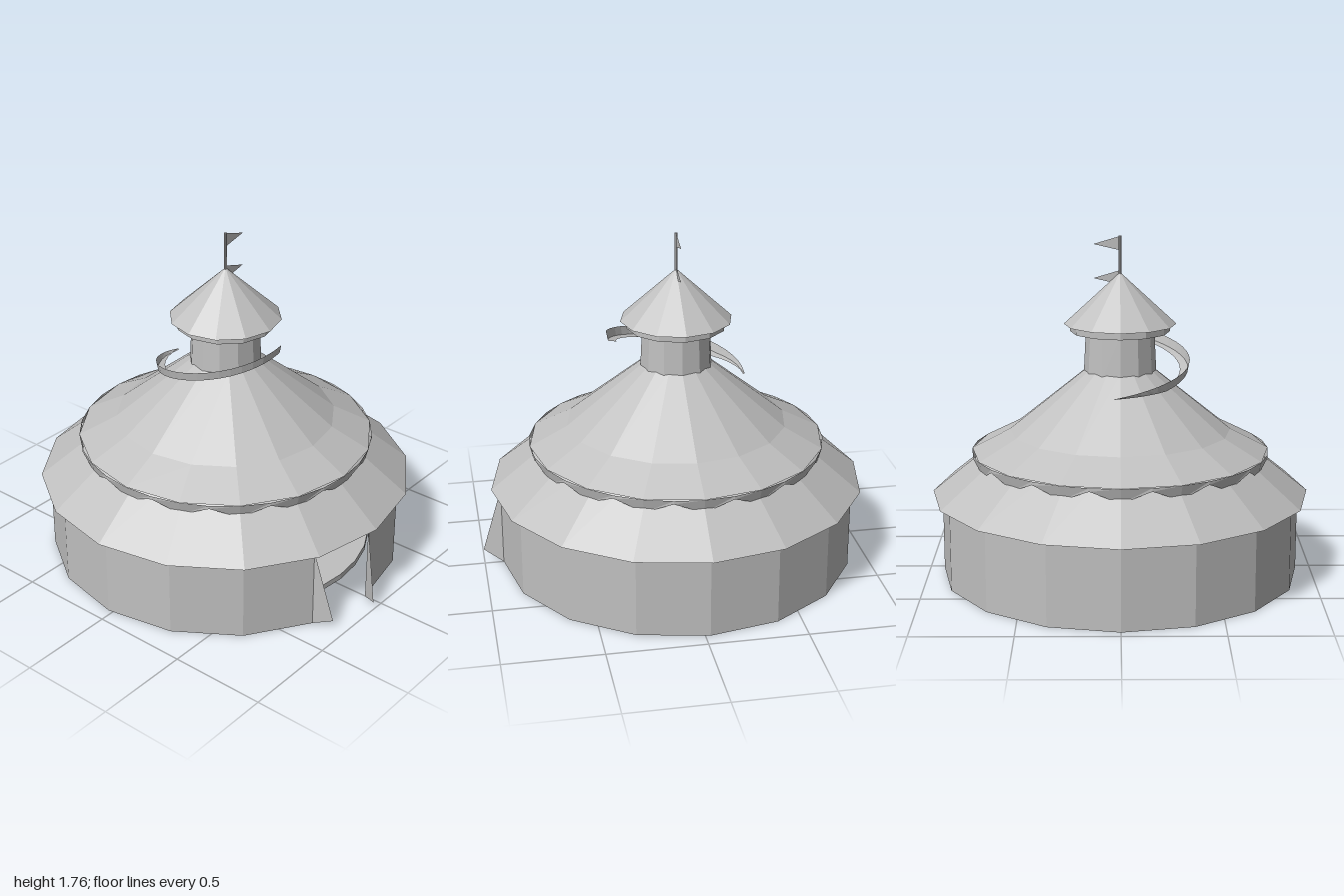
import * as THREE from 'three';

const SEG = Math.PI / 8; // one side of the sixteen-sided tent

const grey = new THREE.MeshStandardMaterial({ color: 0xc0c0c0, flatShading: true, side: THREE.DoubleSide });
grey.name = 'light grey';

function add(parent, name, geometry, x = 0, y = 0, z = 0) {
  const mesh = new THREE.Mesh(geometry, grey);
  mesh.name = name;
  mesh.position.set(x, y, z);
  parent.add(mesh);
  return mesh;
}

// Cylinder or cone given by its radii and heights
function ring(parent, name, rTop, rBottom, y0, y1, sides, open = true) {
  const g = new THREE.CylinderGeometry(rTop, rBottom, y1 - y0, sides, 1, open);
  return add(parent, name, g, 0, (y0 + y1) / 2, 0);
}

function polygon(points) {
  const g = new THREE.BufferGeometry();
  g.setAttribute('position', new THREE.Float32BufferAttribute(points.flat(), 3));
  g.computeVertexNormals();
  return g;
}

// Joins equal-length rows of points into a surface
function loft(rows) {
  const n = rows[0].length;
  const index = [];
  for (let i = 0; i < rows.length - 1; i++) {
    for (let j = 0; j < n - 1; j++) {
      const a = i * n + j;
      index.push(a, a + n, a + 1, a + 1, a + n, a + n + 1);
    }
  }
  const g = polygon(rows.flat());
  g.setIndex(index);
  g.computeVertexNormals();
  return g;
}

const polar = (r, a, y) => [r * Math.sin(a), y, r * Math.cos(a)];

// Blocky two-headed ride seat on a pole
function createRide() {
  const ride = new THREE.Group();
  ride.name = 'ride';
  const box = (name, w, h, d, x, y) => add(ride, name, new THREE.BoxGeometry(w, h, d), x, y, 0);
  box('ridePole', 0.022, 0.48, 0.022, 0, 0.305);
  box('rideBody', 0.19, 0.075, 0.06, 0, 0.228);
  for (const s of [-1, 1]) {
    box('rideLeg', 0.028, 0.09, 0.05, s * 0.065, 0.15);
    box('rideNeck', 0.035, 0.08, 0.045, s * 0.09, 0.285);
    box('rideHead', 0.06, 0.042, 0.045, s * 0.112, 0.325);
  }
  return ride;
}

export function createModel() {
  const model = new THREE.Group();
  model.name = 'tent';
  const tent = new THREE.Group();
  tent.name = 'tentBody';
  tent.position.z = -0.025;
  model.add(tent);

  // Wall with one side left open as the entrance
  add(tent, 'wall', new THREE.CylinderGeometry(0.926, 0.926, 0.425, 15, 1, true, 0, 15 * SEG), 0, 0.2125, 0);

  // Entrance flaps folded outwards
  const flap = (a, tip) => polygon([polar(0.926, a, 0.425), tip, polar(0.926, a, 0)]);
  add(tent, 'entranceFlap', flap(0, [-0.07, 0.045, 1.025]));
  add(tent, 'entranceFlap', flap(-SEG, [-0.325, 0.045, 0.96]));

  // Roof: lower cone, flared upper canopy
  ring(tent, 'lowerRoof', 0.565, 0.974, 0.425, 0.755, 16);
  ring(tent, 'canopyFlare', 0.57, 0.766, 0.655, 0.757, 16);
  ring(tent, 'canopy', 0.175, 0.57, 0.757, 1.075, 16);

  // Pennant trim, a tip at every roof corner
  const trim = [];
  for (let i = 0; i <= 32; i++) {
    const a = i * SEG / 2;
    const tip = i % 2 === 0;
    trim.push([polar(0.766, a, 0.655), polar(tip ? 0.745 : 0.766, a, tip ? 0.577 : 0.638)]);
  }
  add(tent, 'pennantTrim', loft(trim));

  // Turret with brim and pointed hat
  ring(tent, 'turret', 0.175, 0.186, 1.05, 1.275, 12);
  ring(tent, 'turretBrim', 0.255, 0.255, 1.27, 1.31, 12);
  ring(tent, 'turretRoof', 0, 0.287, 1.308, 1.572, 12);

  // Flagpole and two flags
  ring(tent, 'flagpole', 0.008, 0.008, 1.3, 1.757, 8, false);
  for (const y of [1.755, 1.582]) {
    add(tent, 'flag', polygon([[0, y, 0], [0, y - 0.072, 0], [0.135, y - 0.04, 0]]));
  }

  // Spiral slide from the front, round the right side, down to the back
  const slide = [];
  for (let i = 0; i <= 20; i++) {
    const t = i / 20;
    const a = -t * Math.PI * 1.03;
    const y = 1.215 - 0.26 * t;
    const w = t > 0.75 ? 1 - (t - 0.75) * 3.8 : 1; // narrows at the foot
    slide.push([
      polar(0.357, a, y + 0.038),
      polar(0.348, a, y + 0.038 - 0.045 * w),
      polar(0.357 - 0.05 * w, a, y + 0.038 - 0.05 * w),
    ]);
  }
  add(tent, 'spiralSlide', loft(slide));

  // Round floor with its base, hatch and slot underneath
  ring(tent, 'floor', 0.77, 0.77, 0.035, 0.065, 32, false);
  ring(tent, 'floorBase', 0.27, 0.27, 0.005, 0.035, 16, false);
  add(tent, 'floorHatch', new THREE.BoxGeometry(0.2, 0.006, 0.2), -0.06, 0.033, 0.47);
  add(tent, 'baseSlot', new THREE.BoxGeometry(0.28, 0.006, 0.03), 0, 0.003, 0);

  // Rides standing in a circle around the centre post
  ring(tent, 'centrePost', 0.12, 0.12, 0.065, 1.05, 12);
  for (let i = 0; i < 8; i++) {
    const a = -0.33 + i * Math.PI / 4;
    const ride = createRide();
    ride.position.set(0.6 * Math.sin(a), 0, 0.6 * Math.cos(a));
    ride.rotation.y = a;
    tent.add(ride);
  }

  return model;
}
